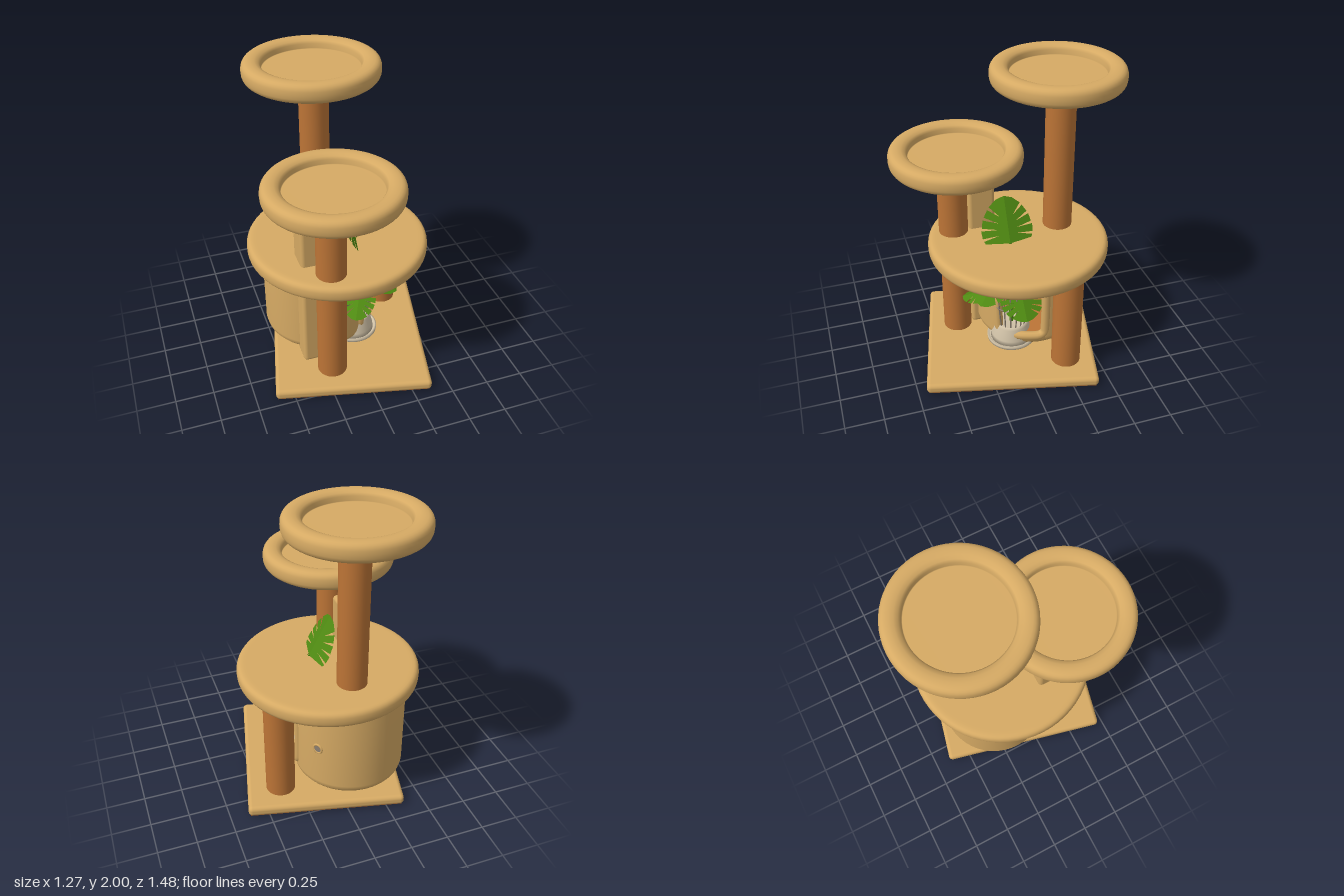
import * as THREE from 'three';
import { RoundedBoxGeometry } from 'three/addons/geometries/RoundedBoxGeometry.js';

const paint = (name, color, side = THREE.FrontSide) => {
  const m = new THREE.MeshStandardMaterial({ color, side });
  m.name = name;
  return m;
};
const V = (x, y, z) => new THREE.Vector3(x, y, z);

export function createModel() {
  const plush = paint('tan plush', 0xd6aa64);
  const sisal = paint('orange sisal', 0xbc7436);
  const board = paint('brown board', 0xa85f2c);
  const ceramic = paint('pale ceramic', 0xd2c3a8);
  const cane = paint('grey cane', 0x8c7f70);
  const green = paint('leaf green', 0x4f8a12, THREE.DoubleSide);
  const model = new THREE.Group();

  const add = (name, geometry, material, x = 0, y = 0, z = 0, parent = model) => {
    const mesh = new THREE.Mesh(geometry, material);
    mesh.name = name;
    mesh.position.set(x, y, z);
    parent.add(mesh);
    return mesh;
  };
  const lathe = (pts, seg = 64, start = 0, len = Math.PI * 2) =>
    new THREE.LatheGeometry(pts.map(p => new THREE.Vector2(p[0], p[1])), seg, start, len);

  // Rounded outer edge of a cushion, from its underside round to its top
  const roundEdge = (r, h, bulge) => {
    const pts = [];
    for (let i = 0; i <= 12; i++) {
      const a = -Math.PI / 2 + Math.PI * i / 12;
      const c = Math.pow(Math.cos(a) + 1e-9, 0.75), s = Math.sign(Math.sin(a)) * Math.pow(Math.abs(Math.sin(a)), 0.75);
      pts.push([r - bulge + bulge * c, h / 2 + h / 2 * s]);
    }
    return pts;
  };

  // Base board, turned a little
  const base = new THREE.Group();
  base.name = 'base';
  base.position.set(0.005, 0, 0.025);
  base.rotation.y = -0.235;
  model.add(base);
  add('baseTop', new RoundedBoxGeometry(1.03, 0.071, 1.14, 4, 0.028), plush, 0, 0.0395, 0, base);
  add('baseUnderside', new THREE.BoxGeometry(1.0, 0.018, 1.11), board, 0, 0.011, 0, base);

  // Fittings under the base
  add('baseDisc', new THREE.CylinderGeometry(0.11, 0.11, 0.004, 32), plush, 0.05, 0.002, 0.02);
  for (let i = 0; i < 4; i++) {
    const a = 0.64 + i * Math.PI / 2;
    add('baseScrew', new THREE.CylinderGeometry(0.014, 0.014, 0.004, 12), cane,
      0.05 + 0.18 * Math.cos(a), 0.002, 0.02 + 0.18 * Math.sin(a));
  }

  // Scratching posts: x, z, bottom, top
  for (const [name, x, z, y0, y1] of [
    ['frontPost', -0.205, 0.345, 0.07, 1.4],
    ['backPost', -0.09, -0.347, 0.8, 1.9],
    ['sidePost', 0.373, -0.265, 0.07, 0.8]]) {
    add(name, new THREE.CylinderGeometry(0.097, 0.097, y1 - y0, 32), sisal, x, (y0 + y1) / 2, z);
  }
  add('squarePost', new RoundedBoxGeometry(0.19, 1.1, 0.18, 3, 0.025), plush, -0.272, 0.62, 0.152);

  // Middle platform
  add('platform', lathe([[0, 0], [0.53, 0], ...roundEdge(0.597, 0.11, 0.05), [0.53, 0.11], [0, 0.11]]),
    plush, -0.037, 0.76, -0.053);

  // Two round beds with raised rims
  const bed = lathe([[0, 0], [0.35, 0], ...roundEdge(0.432, 0.125, 0.062), [0.345, 0.122], [0.322, 0.112],
    [0.31, 0.095], [0.31, 0.066], [0.305, 0.063], [0, 0.063]]);
  add('topBed', bed, plush, -0.104, 1.875, -0.325).scale.z = 0.975;
  add('lowerBed', bed, plush, -0.175, 1.38, 0.313).scale.z = 0.985;

  // Round hideout with a doorway
  const den = new THREE.Group();
  den.name = 'hideout';
  den.position.set(-0.147, 0, -0.17);
  model.add(den);
  const deg = Math.PI / 180, R = 0.37, doorFrom = 37 * deg, doorTo = 90 * deg, sillY = 0.17, lintelY = 0.68;
  const shell = top => [[0, 0.09], [0.31, 0.09], [0.345, 0.1], [0.362, 0.122], [R, 0.155], [R, top],
    [0.34, top], [0.34, 0.135], [0.335, 0.13], [0, 0.13]];
  add('hideoutWall', lathe(shell(0.78), 54, doorTo, Math.PI * 2 - (doorTo - doorFrom)), plush, 0, 0, 0, den);
  add('hideoutSill', lathe(shell(sillY), 12, doorFrom, doorTo - doorFrom), plush, 0, 0, 0, den);
  add('hideoutLintel', lathe([[0.34, lintelY], [R, lintelY], [R, 0.78], [0.34, 0.78], [0.34, lintelY]], 12,
    doorFrom, doorTo - doorFrom), plush, 0, 0, 0, den);
  add('hideoutCushion', new THREE.CylinderGeometry(0.32, 0.335, 0.05, 40), sisal, 0, 0.15, 0, den);

  // Padded door rim: a rounded rectangle wrapped on the wall
  const rim = [], midA = (doorFrom + doorTo) / 2, midY = (sillY + lintelY) / 2;
  const halfW = (doorTo - doorFrom) / 2 * R, halfH = (lintelY - sillY) / 2, cr = 0.05;
  for (const [sx, sy, a0] of [[1, 1, 0], [-1, 1, 90], [-1, -1, 180], [1, -1, 270]]) {
    for (let i = 0; i <= 4; i++) {
      const a = (a0 + i * 22.5) * deg;
      const phi = midA + (sx * (halfW - cr) + cr * Math.cos(a)) / R;
      const r = R - 0.012;
      rim.push(V(r * Math.sin(phi), midY + sy * (halfH - cr) + cr * Math.sin(a), r * Math.cos(phi)));
    }
    // middle of the following side keeps the curve on the wall
    const vertical = sx !== sy;
    const phi = midA + (vertical ? sx * halfW / R : 0);
    if (!vertical) rim.push(V((R - 0.012) * Math.sin(phi), midY + sy * halfH, (R - 0.012) * Math.cos(phi)));
  }
  add('doorRim', new THREE.TubeGeometry(new THREE.CatmullRomCurve3(rim, true), 120, 0.03, 10, true),
    plush, 0, 0, 0, den);

  // Little round peepholes either side of the doorway
  for (const az of [74, -36]) {
    const phi = (90 - az) * deg, hole = new THREE.Group();
    hole.name = 'peephole';
    hole.position.set(R * Math.sin(phi), 0.43, R * Math.cos(phi));
    hole.rotation.y = phi;
    den.add(hole);
    add('peepholeRim', new THREE.TorusGeometry(0.03, 0.008, 8, 24), plush, 0, 0, 0, hole);
    add('peepholeCentre', new THREE.CircleGeometry(0.028, 24), cane, 0, 0, 0.004, hole);
  }

  // Plant pot, saucer and cane cage
  const px = 0.05, pz = 0.02;
  add('saucer', lathe([[0, 0], [0.15, 0], [0.168, 0.01], [0.17, 0.03], [0.158, 0.035], [0.15, 0.02], [0, 0.02]], 40),
    ceramic, px, 0.075, pz);
  add('pot', lathe([[0, 0], [0.145, 0], [0.14, 0.04], [0.118, 0.12], [0.108, 0.14], [0.098, 0.13], [0, 0.12]], 40),
    ceramic, px, 0.09, pz);
  for (let i = 0; i < 18; i++) {
    const a = i / 18 * Math.PI * 2, c = Math.cos(a), s = Math.sin(a);
    const path = new THREE.CatmullRomCurve3([V(c * 0.1, 0.2, s * 0.1), V(c * 0.125, 0.45, s * 0.125),
      V(c * 0.115, 0.66, s * 0.115), V(c * 0.08, 0.765, s * 0.08)]);
    add('caneRod', new THREE.TubeGeometry(path, 10, 0.005, 5), cane, px, 0, pz);
  }
  for (const y of [0.38, 0.62]) {
    add('caneRing', new THREE.TorusGeometry(0.12, 0.005, 6, 36), cane, px, y, pz).rotation.x = Math.PI / 2;
  }

  // Split leaf: two mirrored notched halves, folded along the midrib
  const outline = [[0, 0.08], [0.14, -0.02], [0.34, 0], [0.48, 0.1], [0.53, 0.2], [0.2, 0.27], [0.55, 0.25],
    [0.56, 0.4], [0.2, 0.38], [0.54, 0.45], [0.5, 0.6], [0.18, 0.5], [0.47, 0.65], [0.38, 0.78], [0.14, 0.62],
    [0.34, 0.83], [0.18, 0.95], [0, 1]];
  const halfLeaf = side => {
    const g = new THREE.ShapeGeometry(new THREE.Shape(outline.map(p => new THREE.Vector2(p[0] * side, p[1]))));
    const p = g.attributes.position;
    for (let i = 0; i < p.count; i++) p.setZ(i, -Math.abs(p.getX(i)) * 0.2);
    g.computeVertexNormals();
    return g;
  };
  const halves = [halfLeaf(1), halfLeaf(-1)];
  for (const [from, tip, width] of [
    [V(0.08, 0.84, 0.03), V(-0.085, 1.145, 0.03), 0.31],
    [V(0.13, 0.54, -0.02), V(0.28, 0.37, -0.02), 0.27],
    [V(0.06, 0.54, 0.15), V(-0.04, 0.43, 0.34), 0.2],
    [V(0.09, 0.72, 0.1), V(0.26, 0.56, 0.29), 0.24],
    [V(0.06, 0.74, -0.06), V(0.14, 0.66, -0.18), 0.13],
    [V(0.02, 0.75, 0.04), V(-0.1, 0.71, 0.08), 0.13]]) {
    const along = tip.clone().sub(from), length = along.length();
    along.normalize();
    const across = V(along.z, 0, -along.x).normalize();
    if (along.y < 0) across.negate();
    const face = across.clone().cross(along);
    if (face.y < 0) { face.negate(); across.negate(); }
    const leaf = new THREE.Group();
    leaf.name = 'leaf';
    leaf.applyMatrix4(new THREE.Matrix4().makeBasis(across, along, face));
    leaf.position.copy(from);
    leaf.scale.set(width, length, width);
    model.add(leaf);
    halves.forEach(g => add('leafHalf', g, green, 0, 0, 0, leaf));
    const stem = new THREE.CatmullRomCurve3([V(px, 0.2, pz), V(px, 0.38, pz).lerp(from, 0.2),
      from.clone().addScaledVector(along, length * 0.12)]);
    add('stem', new THREE.TubeGeometry(stem, 12, 0.012, 6), green);
  }
  return model;
}
